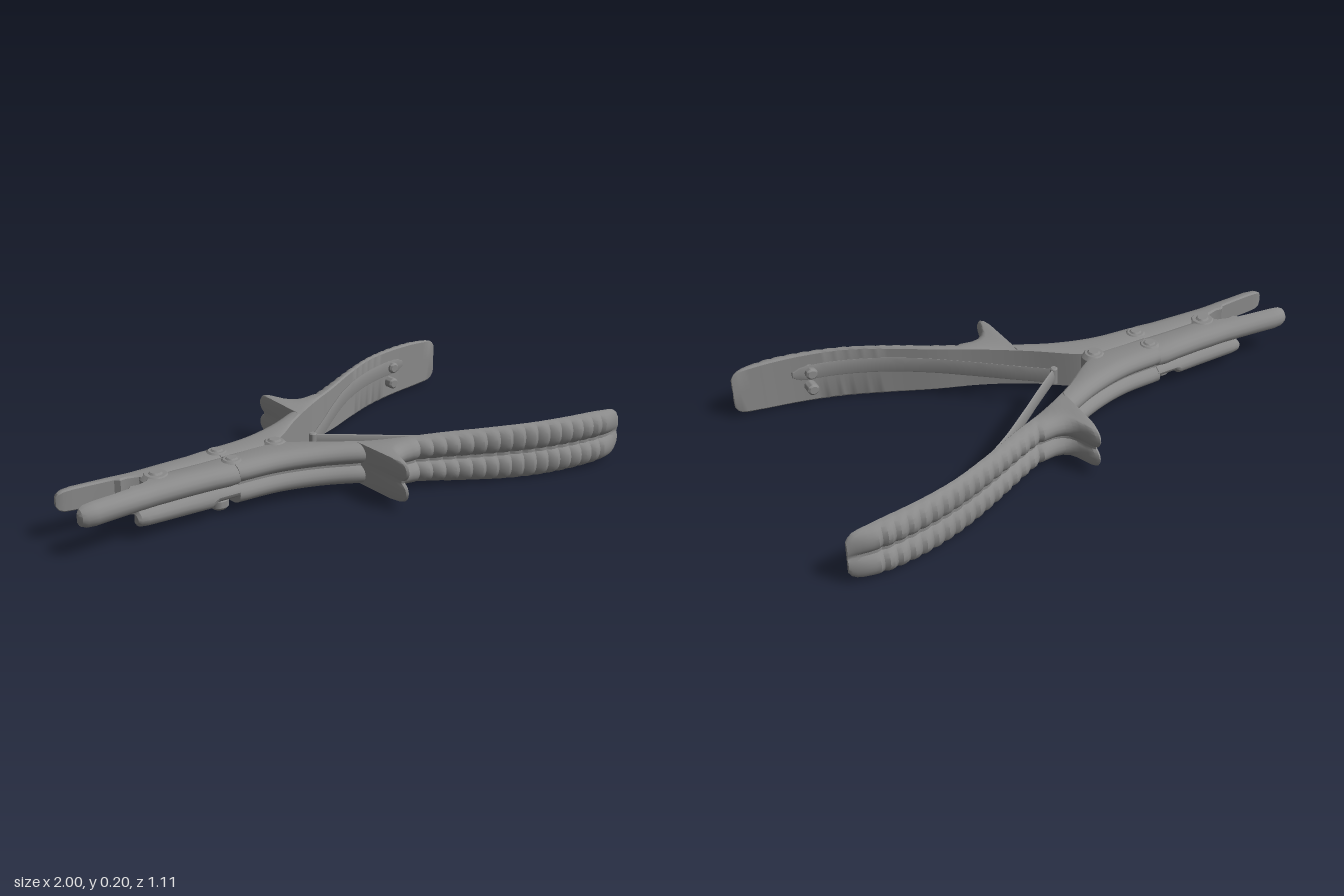
import * as THREE from 'three';
import { toCreasedNormals } from 'three/addons/utils/BufferGeometryUtils.js';

const steel = new THREE.MeshStandardMaterial({ color: 0x8a8a8a });
steel.name = 'steel';

// Smooth (Hermite) lookup in a table of [x, value] pairs
function lookup(table, x) {
  const n = table.length - 1;
  if (x <= table[0][0]) return table[0][1];
  if (x >= table[n][0]) return table[n][1];
  let i = 0;
  while (x > table[i + 1][0]) i++;
  const slope = (k) => {
    const a = table[Math.max(0, k - 1)], b = table[Math.min(n, k + 1)];
    return (b[1] - a[1]) / (b[0] - a[0]);
  };
  const [x0, v0] = table[i], [x1, v1] = table[i + 1];
  const h = x1 - x0, t = (x - x0) / h, t2 = t * t, t3 = t2 * t;
  return (2 * t3 - 3 * t2 + 1) * v0 + (t3 - 2 * t2 + t) * h * slope(i)
    + (3 * t2 - 2 * t3) * v1 + (t3 - t2) * h * slope(i + 1);
}

// Cross-section in (z, y): flat inner side, one or two rounded lobes outside
function section([, zi, zo, y0, y1], lobes) {
  const h = (y1 - y0) / (2 * lobes), rz = Math.min(0.05, (zo - zi) * 0.8);
  const pts = [[zi, (y0 + y1) / 2], [zi, y0 + h * 0.12], [zi + (zo - zi) * 0.1, y0]];
  const arc = (yc, from, to) => {
    for (let k = 0; k <= 8; k++) {
      const a = THREE.MathUtils.degToRad(from + (to - from) * k / 8);
      pts.push([zo - rz + rz * Math.cos(a), yc + h * Math.sin(a)]);
    }
  };
  if (lobes === 1) arc(y0 + h, -90, 90);
  else { arc(y0 + h, -90, 62); arc(y1 - h, -62, 90); }
  pts.push([zi + (zo - zi) * 0.1, y1], [zi, y1 - h * 0.12]);
  return pts;
}

// Loft through stations [x, inner z, outer z, bottom, top]; side = 1 or -1 mirrors z
function loft(name, stations, lobes, side) {
  const pos = [], idx = [];
  const rings = stations.map((s) => section(s, lobes));
  const m = rings[0].length;
  const tri = (a, b, c) => (side > 0 ? idx.push(a, b, c) : idx.push(a, c, b));
  rings.forEach((ring, i) => ring.forEach(([z, y]) => pos.push(stations[i][0], y, z * side)));
  for (let i = 0; i < rings.length - 1; i++) {
    for (let j = 0; j < m; j++) {
      const a = i * m + j, b = i * m + (j + 1) % m;
      tri(a, a + m, b);
      tri(b, a + m, b + m);
    }
  }
  const last = (rings.length - 1) * m;
  for (let j = 1; j < m - 1; j++) {
    tri(0, j, j + 1);
    tri(last, last + j + 1, last + j);
  }
  const geo = new THREE.BufferGeometry();
  geo.setAttribute('position', new THREE.Float32BufferAttribute(pos, 3));
  geo.setIndex(idx);
  const mesh = new THREE.Mesh(toCreasedNormals(geo, 0.55), steel);
  mesh.name = name;
  return mesh;
}

// Lathed pin with softened rims, axis along y
function pin(name, r, y0, y1, x, z) {
  const b = Math.min(r * 0.3, (y1 - y0) * 0.3);
  const profile = [[0, y0], [r - b, y0], [r, y0 + b], [r, y1 - b], [r - b, y1], [0, y1]]
    .map(([px, py]) => new THREE.Vector2(px, py));
  const mesh = new THREE.Mesh(toCreasedNormals(new THREE.LatheGeometry(profile, 24), 0.6), steel);
  mesh.name = name;
  mesh.position.set(x, 0, z);
  return mesh;
}

// Handle outlines as seen from above
const OUTER = [[-0.41, 0.113], [-0.25, 0.125], [-0.1, 0.168], [0.04, 0.235], [0.15, 0.295], [0.22, 0.325],
  [0.3, 0.36], [0.5, 0.45], [0.7, 0.522], [0.85, 0.553], [0.93, 0.548], [1, 0.524]];
const INNER = [[-0.41, 0.002], [-0.2, 0.002], [-0.14, 0.03], [0, 0.135], [0.15, 0.225], [0.3, 0.298],
  [0.45, 0.378], [0.6, 0.446], [0.75, 0.483], [0.9, 0.502], [1, 0.511]];
const BOTTOM = [[-0.41, 0.032], [0, 0.03], [0.2, 0.02], [0.4, 0.007], [0.6, 0.001], [0.85, 0.006], [0.95, 0.012]];
const TOP = [[-0.41, 0.18], [0, 0.18], [0.2, 0.187], [0.4, 0.198], [0.6, 0.205], [0.85, 0.203], [0.95, 0.196]];
const THORN = [[0.037, 0.23], [0.042, 0.41], [0.048, 0.435], [0.055, 0.441], [0.064, 0.43], [0.074, 0.4],
  [0.086, 0.365], [0.1, 0.342], [0.12, 0.326], [0.15, 0.318], [0.18, 0.32], [0.2, 0.322]];
const SPRING = [[-0.025, 0], [0.1, 0.1], [0.2, 0.183], [0.35, 0.3], [0.5, 0.39], [0.65, 0.448], [0.79, 0.474]];

function handle(side) {
  const stations = [];
  const add = (x, z, trim = 0) => stations.push(
    [x, lookup(INNER, x), z, lookup(BOTTOM, x) + trim, lookup(TOP, x) - trim]);
  for (let x = -0.41; x < 0.03; x += 0.03) add(x, lookup(OUTER, x));
  // finger thorn
  THORN.forEach(([x, z]) => add(x, z));
  // ribbed grip
  for (let i = 1; i < 50; i++) {
    const x = 0.2 + i * 0.015;
    add(x, lookup(OUTER, x) - (i % 3 === 1 && x < 0.9 ? 0.009 : 0));
  }
  // rounded butt
  [[0.955, 0.001], [0.975, 0.006], [0.99, 0.016], [1, 0.032]].forEach(([x, t]) => add(x, lookup(OUTER, x), t));
  return loft('handle', stations, 2, side);
}

function jaw(side) {
  const g = new THREE.Group();
  g.name = 'jaw';
  g.add(loft('jawBlade', [
    [-1, 0.072, 0.086, 0.125, 0.157], [-0.992, 0.067, 0.1, 0.111, 0.17], [-0.975, 0.063, 0.109, 0.103, 0.178],
    [-0.94, 0.06, 0.113, 0.1, 0.181], [-0.86, 0.053, 0.108, 0.1, 0.181], [-0.8, 0.046, 0.106, 0.1, 0.181],
    [-0.785, 0.03, 0.105, 0.1, 0.181], [-0.76, 0.034, 0.104, 0.1, 0.18], [-0.72, 0.022, 0.102, 0.1, 0.18],
    [-0.705, 0.002, 0.102, 0.1, 0.18], [-0.6, 0.002, 0.104, 0.1, 0.18], [-0.5, 0.002, 0.109, 0.1, 0.178],
    [-0.44, 0.002, 0.116, 0.1, 0.178], [-0.405, 0.002, 0.112, 0.1, 0.178]], 1, side));
  g.add(loft('jawBase', [
    [-0.79, 0.06, 0.088, 0.06, 0.09], [-0.78, 0.05, 0.096, 0.046, 0.104], [-0.755, 0.04, 0.1, 0.04, 0.11],
    [-0.72, 0.02, 0.1, 0.038, 0.11], [-0.7, 0.002, 0.1, 0.037, 0.11], [-0.6, 0.002, 0.102, 0.035, 0.11],
    [-0.51, 0.002, 0.107, 0.035, 0.11], [-0.49, 0.002, 0.108, 0.055, 0.11],
    [-0.405, 0.002, 0.11, 0.055, 0.11]], 1, side));
  return g;
}

function leafSpring(side) {
  const g = new THREE.Group();
  g.name = 'leafSpring';
  const stations = [];
  for (let i = 0; i <= 30; i++) {
    const x = -0.025 + i * 0.815 / 30, z = lookup(SPRING, x);
    const trim = i === 30 ? 0.018 : i === 29 ? 0.004 : 0;
    stations.push([x, z - 0.007, z + 0.007, 0.108 + trim, 0.167 - trim]);
  }
  g.add(loft('springLeaf', stations, 1, side));
  // screws holding the leaf to the handle
  [0.137, 0.07].forEach((y) => {
    const screw = pin('springScrew', 0.022, -0.022, 0.03, 0.72, 0);
    screw.position.set(0.725, y, 0.46 * side);
    screw.rotation.set(Math.PI / 2 * side, 0, 0.2 * side, 'ZXY');
    g.add(screw);
  });
  return g;
}

export function createModel() {
  const model = new THREE.Group();
  model.name = 'doubleActionPliers';
  for (const side of [1, -1]) {
    model.add(handle(side), jaw(side), leafSpring(side));
    // link pivots between jaw and handle
    model.add(pin('linkBoss', 0.043, 0.06, 0.184, -0.4, 0.046 * side));
    model.add(pin('linkPin', 0.024, 0.1, 0.189, -0.4, 0.046 * side));
  }
  // central pivots
  [[-0.67, 0.054, 0.04], [-0.19, 0.046, 0.028]].forEach(([x, r, y]) => {
    model.add(pin('pivotBoss', r, y, 0.184, x, 0));
    model.add(pin('pivotPin', 0.026, 0.1, 0.19, x, 0));
  });
  // screw heads underneath
  model.add(pin('lowerScrew', 0.034, 0.016, 0.06, -0.455, 0.046));
  model.add(pin('lowerScrew', 0.03, 0.035, 0.06, -0.455, -0.046));
  model.add(pin('lowerScrew', 0.03, 0.016, 0.06, -0.195, 0));
  // spring joint
  model.add(pin('springJoint', 0.014, 0.104, 0.172, -0.022, 0));
  return model;
}
